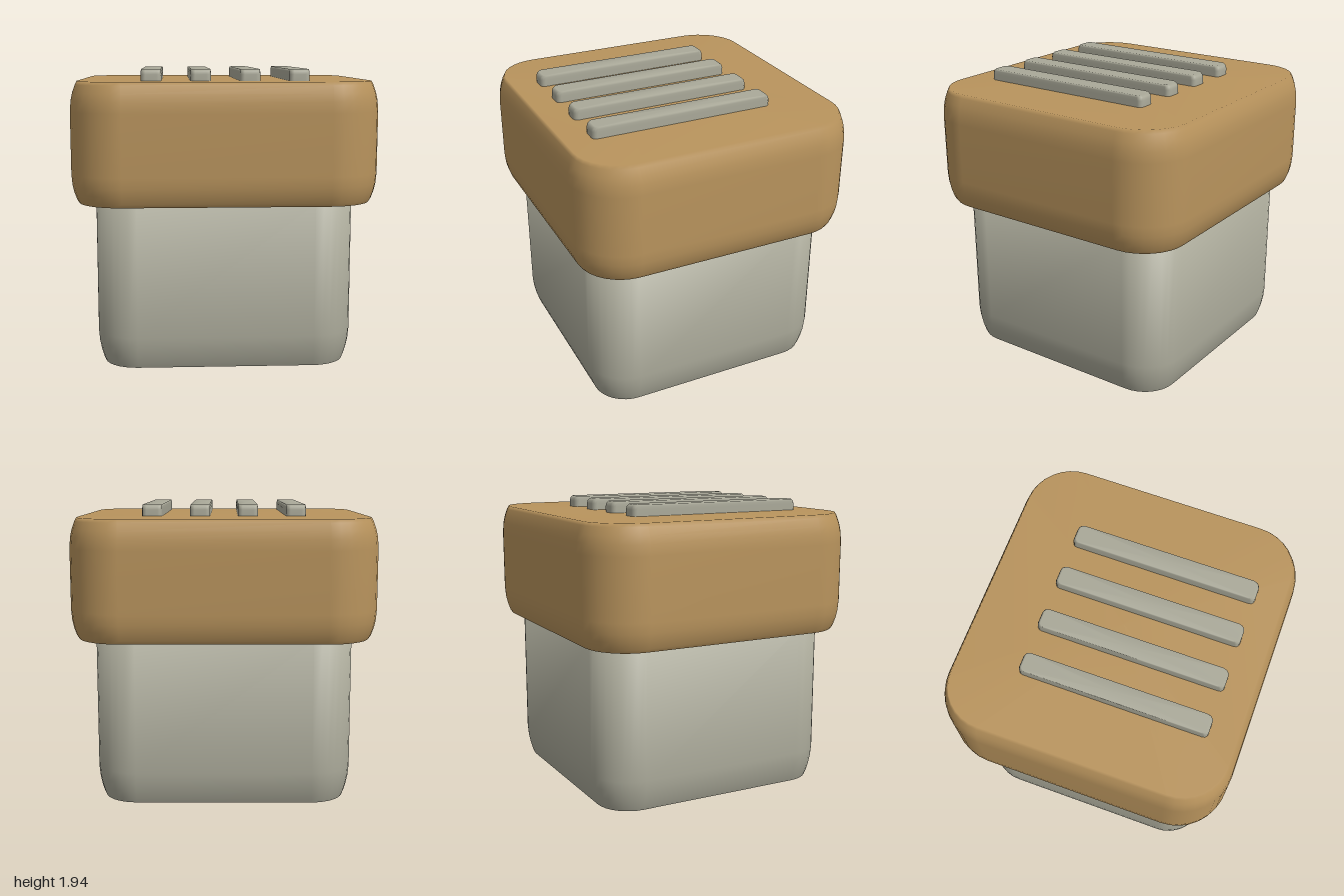
import * as THREE from 'three';

// Rounded-rectangle outline: half sizes hx, hz and corner radius r
function outline(hx, hz, r, steps) {
  const points = [];
  for (let corner = 0; corner < 4; corner++) {
    const sx = corner === 0 || corner === 3 ? 1 : -1;
    const sz = corner < 2 ? 1 : -1;
    for (let i = 0; i <= steps; i++) {
      const a = (corner + i / steps) * Math.PI / 2;
      points.push([sx * (hx - r) + r * Math.cos(a), sz * (hz - r) + r * Math.sin(a)]);
    }
  }
  return points;
}

// Smooth loft through rings [y, insetX, insetZ], with a soft top cap and a crisp bottom cap
function roundedBlock(hx, hz, r, steps, rings) {
  const positions = [], index = [];
  const n = 4 * (steps + 1);
  const addRing = ([y, ix, iz]) => {
    for (const [x, z] of outline(hx - ix, hz - iz, r - Math.min(ix, iz), steps)) positions.push(x, y, z);
  };
  rings.forEach(addRing);
  for (let k = 0; k < rings.length - 1; k++) {
    for (let i = 0; i < n; i++) {
      const j = (i + 1) % n;
      const a = k * n + i, b = k * n + j, c = b + n, d = a + n;
      index.push(a, d, b, b, d, c);
    }
  }
  // Top cap shares the rim, so its shading rolls over the edge
  const topStart = (rings.length - 1) * n;
  const topCentre = positions.length / 3;
  positions.push(0, rings[rings.length - 1][0], 0);
  // Bottom cap has its own rim
  const bottomStart = positions.length / 3;
  addRing(rings[0]);
  const bottomCentre = positions.length / 3;
  positions.push(0, rings[0][0], 0);
  for (let i = 0; i < n; i++) {
    const j = (i + 1) % n;
    index.push(topCentre, topStart + j, topStart + i);
    index.push(bottomCentre, bottomStart + i, bottomStart + j);
  }
  const geometry = new THREE.BufferGeometry();
  geometry.setAttribute('position', new THREE.Float32BufferAttribute(positions, 3));
  geometry.setIndex(index);
  geometry.computeVertexNormals();
  return geometry;
}

export function createModel() {
  const model = new THREE.Group();
  const tan = new THREE.MeshStandardMaterial({ color: 0xb9945d });
  tan.name = 'tan';
  const warmGrey = new THREE.MeshStandardMaterial({ color: 0xaaa999 });
  warmGrey.name = 'warm grey';

  const add = (name, geometry, material) => {
    const mesh = new THREE.Mesh(geometry, material);
    mesh.name = name;
    model.add(mesh);
    return mesh;
  };

  // Lower body, drawn in at the foot
  add('body', roundedBlock(0.845, 0.845, 0.27, 8, [
    [0, 0.045, 0.045], [0.03, 0.033, 0.033], [0.08, 0.018, 0.018],
    [0.14, 0.006, 0.006], [0.21, 0, 0], [1.09, 0, 0],
  ]), warmGrey);

  // Wide lid, softened at both edges
  add('lid', roundedBlock(1, 0.957, 0.34, 8, [
    [1.077, 0.05, 0.05], [1.1, 0.035, 0.035], [1.15, 0.017, 0.017], [1.2, 0.006, 0.006], [1.27, 0, 0],
    [1.67, 0, 0], [1.74, 0.006, 0.006], [1.79, 0.017, 0.017], [1.84, 0.035, 0.035], [1.863, 0.048, 0.048],
  ]), tan);

  // Four raised bars on the lid
  const barGeometry = roundedBlock(0.066, 0.622, 0.03, 3, [
    [1.85, 0, 0], [1.905, 0, 0], [1.925, 0.001, 0.006], [1.938, 0.003, 0.02],
  ]);
  for (let i = 0; i < 4; i++) {
    const bar = add('topBar' + (i + 1), barGeometry, warmGrey);
    bar.position.set((i - 1.5) * 0.316, 0, 0.113);
  }
  return model;
}
